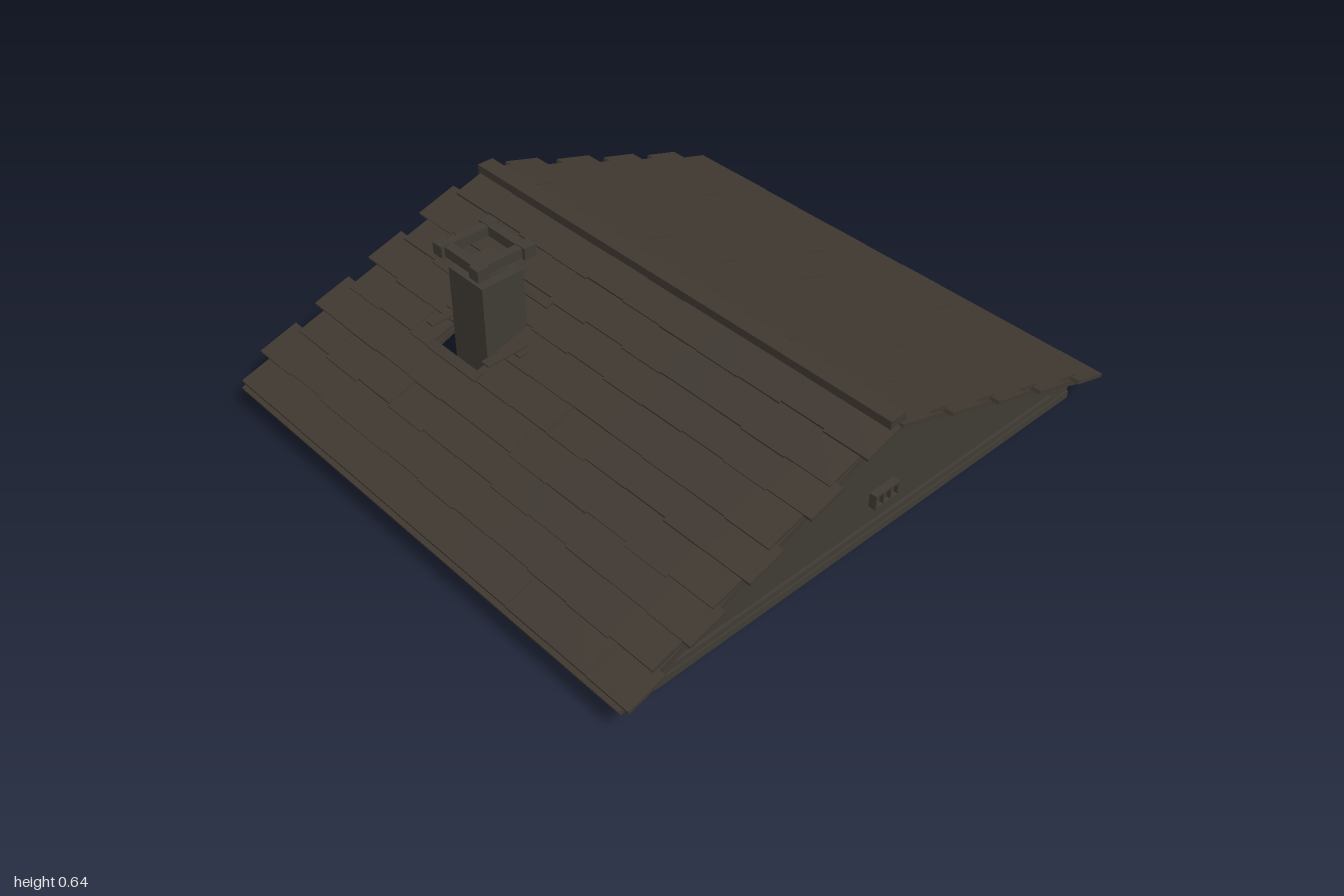
import * as THREE from 'three';
import { mergeGeometries } from 'three/addons/utils/BufferGeometryUtils.js';

const SLOPE = 0.37, RIDGE = 0.46, ANGLE = Math.atan(SLOPE);
const HOLE = { x0: 0.31, x1: 0.55, z0: -0.46, z1: -0.25 };

export function createModel() {
  const model = new THREE.Group();
  const roofMat = new THREE.MeshStandardMaterial({ color: 0x3f3831 });
  const timberMat = new THREE.MeshStandardMaterial({ color: 0x3f3a34 });
  roofMat.name = 'dark shingle';
  timberMat.name = 'dark timber and stone';

  let seed = 7;
  const rand = () => (seed = (seed * 16807) % 2147483647) / 2147483647;

  const add = (name, geo, mat = timberMat) => {
    const mesh = new THREE.Mesh(geo, mat);
    mesh.name = name;
    model.add(mesh);
    return mesh;
  };
  // Box given by its two extreme corners
  const box = (x0, x1, y0, y1, z0, z1) =>
    new THREE.BoxGeometry(x1 - x0, y1 - y0, z1 - z0)
      .translate((x0 + x1) / 2, (y0 + y1) / 2, (z0 + z1) / 2);
  // Slab lying on one roof slope; x0, x1 are distances from the ridge
  const slab = (side, x0, x1, z0, z1, lift, thick, tilt = 0) => {
    const xm = (x0 + x1) / 2;
    return new THREE.BoxGeometry((x1 - x0) / Math.cos(ANGLE), thick, z1 - z0)
      .rotateZ(side * (tilt - ANGLE))
      .translate(side * xm, RIDGE - SLOPE * xm + lift, (z0 + z1) / 2);
  };
  const triangle = (w, y0, y1, top) =>
    [[-w, y0], [w, y0], [w, y1], [0, top], [-w, y1]].map(p => new THREE.Vector2(...p));

  // Roof deck, with an opening for the chimney on one slope
  const deck = [slab(1, 0, 0.995, -0.88, 0.89, -0.01, 0.018)];
  for (const [x0, x1, z0, z1] of [
    [0, HOLE.x0, -0.88, 0.89], [HOLE.x1, 0.995, -0.88, 0.89],
    [HOLE.x0, HOLE.x1, -0.88, HOLE.z0], [HOLE.x0, HOLE.x1, HOLE.z1, 0.89],
  ]) deck.push(slab(-1, x0, x1, z0, z1, -0.01, 0.018));
  add('roofDeck', mergeGeometries(deck), roofMat);

  // Nine overlapping shingle courses on each slope, alternately shifted
  const edges = [0.02, 0.125, 0.24, 0.345, 0.46, 0.56, 0.67, 0.77, 0.88, 0.99];
  for (const side of [1, -1]) {
    const parts = [];
    for (let r = 0; r < 9; r++) {
      const odd = r % 2;
      const start = odd ? -0.925 : -0.88, end = odd ? 0.89 : 0.92;
      const cut = side < 0 && (r === 3 || r === 4);
      const n = 11, step = (end - start) / n;
      for (let i = 0; i < n; i++) {
        const z0 = start + i * step, z1 = z0 + step;
        const low = edges[r + 1] + (r < 8 ? rand() * 0.012 : 0);
        const lift = 0.011 + rand() * 0.004;
        const spans = cut
          ? [[z0, Math.min(z1, HOLE.z0)], [Math.max(z0, HOLE.z1), z1]]
          : [[z0, z1]];
        for (const [a, b] of spans) {
          if (b - a > 0.005) parts.push(slab(side, edges[r] - 0.015, low, a, b, lift, 0.012, 0.06));
        }
      }
    }
    add(side > 0 ? 'leftShingles' : 'rightShingles', mergeGeometries(parts), roofMat);
  }
  add('ridgeCap', box(-0.03, 0.03, 0.455, 0.495, -0.89, 0.905), roofMat);

  // Gable walls
  const wallShape = new THREE.Shape(triangle(0.87, 0.08, 0.108, 0.44));
  for (const [name, z] of [['frontGable', 0.85], ['backGable', -0.87]]) {
    add(name, new THREE.ExtrudeGeometry(wallShape, { depth: 0.02, bevelEnabled: false }).translate(0, 0, z));
  }
  // Raised trim around the front gable
  const trim = new THREE.Shape(triangle(0.87, 0.08, 0.108, 0.44));
  trim.holes.push(new THREE.Path([[-0.8, 0.115], [0, 0.415], [0.8, 0.115]].map(p => new THREE.Vector2(...p))));
  add('frontGableTrim', new THREE.ExtrudeGeometry(trim, { depth: 0.01, bevelEnabled: false }).translate(0, 0, 0.87));
  add('frontGableBeam', box(-0.87, 0.87, 0.07, 0.095, 0.85, 0.885));

  // Gable vent: frame and upright slats
  const vent = [
    box(-0.05, 0.05, 0.18, 0.187, 0.865, 0.895), box(-0.05, 0.05, 0.223, 0.23, 0.865, 0.895),
    box(-0.05, 0.05, 0.18, 0.23, 0.865, 0.882),
  ];
  for (const x of [-0.046, -0.015, 0.015, 0.046]) vent.push(box(x - 0.004, x + 0.004, 0.18, 0.23, 0.865, 0.895));
  add('gableVent', mergeGeometries(vent));

  // Trusses: a tie joist and a pair of rafters
  for (const z of [0.75, 0.44, 0.115, -0.2, -0.525, -0.73]) {
    add('joist', box(-0.88, 0.88, 0.068, 0.1, z - 0.015, z + 0.015));
    for (const side of [1, -1]) add('rafter', slab(side, 0, 0.9, z - 0.012, z + 0.012, -0.03, 0.024));
  }

  // Chimney shaft with a small flue
  const cx = -0.425, cz = -0.335;
  add('chimney', box(cx - 0.077, cx + 0.077, 0, 0.55, cz - 0.08, cz + 0.08));
  add('chimneyFlue', box(cx - 0.045, cx + 0.045, 0.55, 0.555, cz - 0.045, cz + 0.045));

  // Square chimney crown: four bars and four corner blocks
  const crown = [];
  for (const s of [1, -1]) {
    const bx = cx + s * 0.08, bz = cz + s * 0.08;
    crown.push(box(bx - 0.015, bx + 0.015, 0.603, 0.637, cz - 0.08, cz + 0.08));
    crown.push(box(cx - 0.08, cx + 0.08, 0.603, 0.637, bz - 0.015, bz + 0.015));
    for (const t of [1, -1]) {
      const px = cx + s * 0.086, pz = cz + t * 0.086;
      crown.push(box(px - 0.021, px + 0.021, 0.6, 0.64, pz - 0.021, pz + 0.021));
    }
  }
  add('chimneyCrown', mergeGeometries(crown));

  // Thin flashing strips round the chimney opening
  add('flashing', mergeGeometries([
    box(-0.55, -0.36, 0.328, 0.334, -0.49, -0.46), box(-0.45, -0.36, 0.322, 0.328, -0.52, -0.485),
    box(-0.55, -0.36, 0.328, 0.334, -0.22, -0.185), box(-0.45, -0.36, 0.322, 0.328, -0.19, -0.165),
    slab(-1, 0.25, 0.28, -0.48, -0.24, 0.024, 0.008),
    slab(-1, 0.55, 0.58, -0.46, -0.22, 0.026, 0.008),
  ]), roofMat);

  return model;
}
